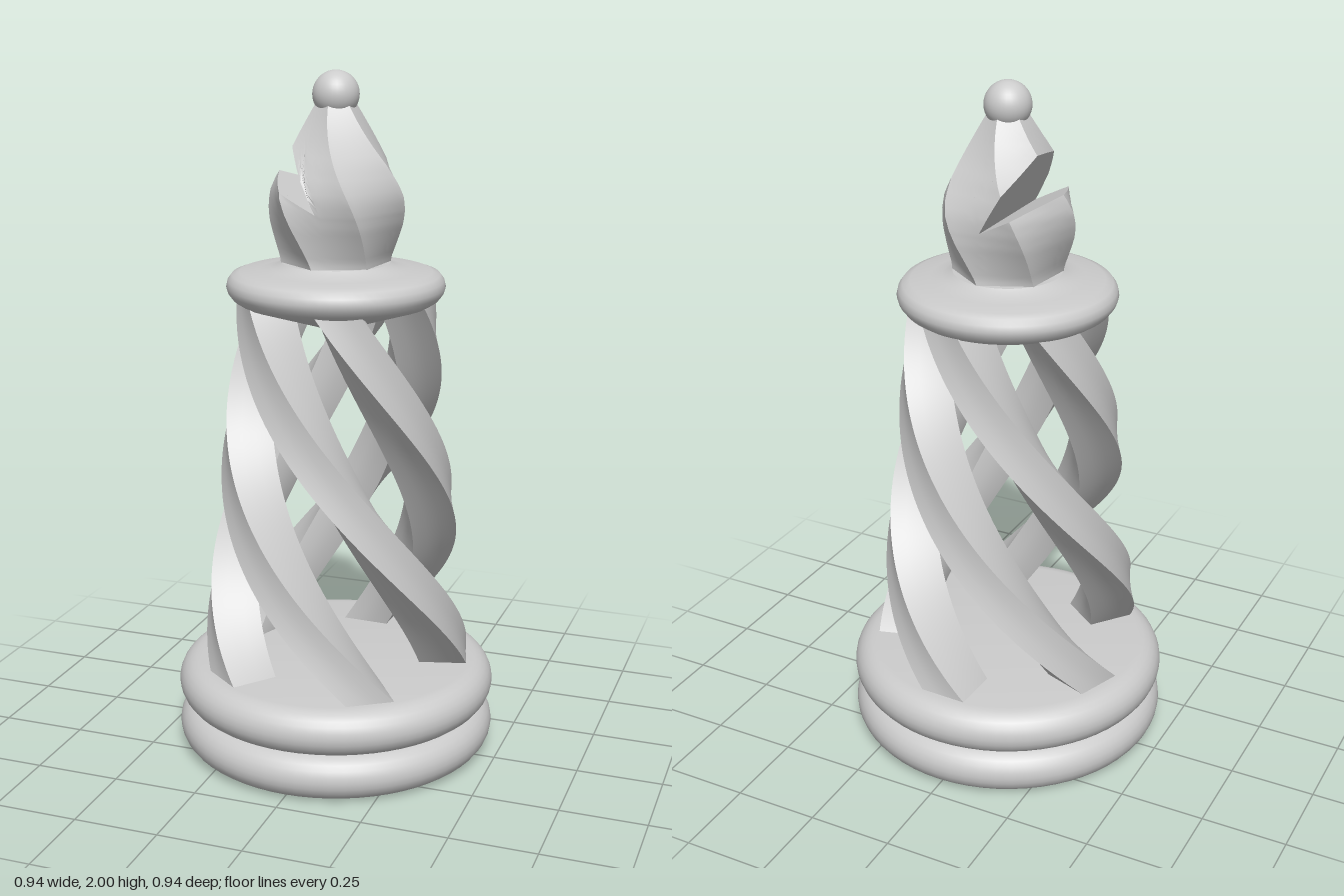
import * as THREE from 'three';
import { toCreasedNormals } from 'three/addons/utils/BufferGeometryUtils.js';

const material = new THREE.MeshStandardMaterial({ color: 0xcccccc, side: THREE.DoubleSide });

function add(group, name, geometry) {
  const mesh = new THREE.Mesh(geometry, material);
  mesh.name = name;
  group.add(mesh);
  return mesh;
}

const lathe = (points) => toCreasedNormals(
  new THREE.LatheGeometry(points.map(([r, y]) => new THREE.Vector2(r, y)), 64).toNonIndexed(), 0.6);

// Disc with a half-round rim
function discProfile(radius, y0, y1) {
  const h = (y1 - y0) / 2, points = [[0, y0]];
  for (let i = 0; i <= 12; i++) {
    const a = -Math.PI / 2 + (i / 12) * Math.PI;
    points.push([radius - h + h * Math.cos(a), y0 + h + h * Math.sin(a)]);
  }
  points.push([0, y1]);
  return points;
}

// Square bar that winds around the axis and leans inward as it rises
function strutGeometry(startAngle) {
  const y0 = 0.25, y1 = 1.37, twist = THREE.MathUtils.degToRad(162);
  const geometry = new THREE.BoxGeometry(1, 1, 1, 3, 60, 3);
  const p = geometry.attributes.position;
  for (let i = 0; i < p.count; i++) {
    const t = p.getY(i) + 0.5;
    const size = 0.14 - 0.01 * t;
    const radial = 0.325 - 0.115 * t + p.getX(i) * size;
    const side = p.getZ(i) * size;
    const a = startAngle + twist * t;
    p.setXYZ(i,
      Math.cos(a) * radial - Math.sin(a) * side,
      y0 + (y1 - y0) * t,
      Math.sin(a) * radial + Math.cos(a) * side);
  }
  geometry.computeVertexNormals();
  return geometry;
}

// Corner radius of the head by height
const headProfile = [[1.44, 0.155], [1.48, 0.158], [1.53, 0.175], [1.58, 0.192], [1.62, 0.2], [1.66, 0.201],
  [1.70, 0.189], [1.75, 0.162], [1.80, 0.127], [1.85, 0.094], [1.92, 0.05]];

function headRadius(y) {
  let i = 1;
  while (i < headProfile.length - 1 && headProfile[i][0] < y) i++;
  const [ya, ra] = headProfile[i - 1], [yb, rb] = headProfile[i];
  return ra + (rb - ra) * (y - ya) / (yb - ya);
}

// Point on the twisted six-sided head
function headPoint(a, y) {
  const sector = Math.PI / 3;
  const local = ((a % sector) + sector) % sector - sector / 2;
  const r = headRadius(y) * Math.cos(sector / 2) / Math.cos(local);
  const turned = a + 2.2 * (y - 1.65);
  return new THREE.Vector3(r * Math.cos(turned), y, r * Math.sin(turned));
}

// Twisted head with a wedge slot open toward -x
function headGeometry() {
  const columns = 72, rows = 16, bottom = 1.44, top = 1.92, slotY = 1.62;
  const positions = [];
  const quad = (a, b, c, d) => {
    for (const v of [a, c, d, a, d, b]) positions.push(v.x, v.y, v.z);
  };
  // Height where a column meets a slot wall of the given slope
  const cutHeight = (a, slope) => {
    let lo = slotY - 0.001, hi = top;
    for (let i = 0; i < 40; i++) {
      const y = (lo + hi) / 2;
      if (y < slotY + slope * Math.max(0, -headPoint(a, y).x)) lo = y; else hi = y;
    }
    return (lo + hi) / 2;
  };
  const inner = (v) => (v.x < 0 ? new THREE.Vector3(0, slotY, v.z) : v);

  for (let c = 0; c < columns; c++) {
    const a0 = (c / columns) * Math.PI * 2 + 1e-6, a1 = ((c + 1) / columns) * Math.PI * 2 - 1e-6;
    const low0 = cutHeight(a0, 0.52), low1 = cutHeight(a1, 0.52);
    const up0 = cutHeight(a0, 1.8), up1 = cutHeight(a1, 1.8);
    const wall = (s0, s1, e0, e1) => {
      for (let r = 0; r < rows; r++) {
        const t = r / rows, u = (r + 1) / rows;
        quad(headPoint(a0, s0 + (e0 - s0) * t), headPoint(a1, s1 + (e1 - s1) * t),
          headPoint(a0, s0 + (e0 - s0) * u), headPoint(a1, s1 + (e1 - s1) * u));
      }
    };
    wall(bottom, bottom, low0, low1);
    wall(up0, up1, top, top);

    // Slot walls
    const l0 = headPoint(a0, low0), l1 = headPoint(a1, low1);
    const u0 = headPoint(a0, up0), u1 = headPoint(a1, up1);
    if (l0.x < 0 || l1.x < 0) quad(l0, l1, inner(l0), inner(l1));
    if (u0.x < 0 || u1.x < 0) quad(u1, u0, inner(u1), inner(u0));
  }
  const geometry = new THREE.BufferGeometry();
  geometry.setAttribute('position', new THREE.Float32BufferAttribute(positions, 3));
  return toCreasedNormals(geometry, 0.55);
}

export function createModel() {
  const group = new THREE.Group();
  group.name = 'twistedBishop';

  // Stacked base discs
  add(group, 'lowerBase', lathe(discProfile(0.472, 0, 0.138)));
  add(group, 'upperBase', lathe(discProfile(0.472, 0.134, 0.272)));

  // Five spiral struts
  const struts = new THREE.Group();
  struts.name = 'struts';
  for (let i = 0; i < 5; i++) {
    add(struts, 'strut', strutGeometry(THREE.MathUtils.degToRad(269 + 72 * i)));
  }
  group.add(struts);

  // Collar with a shallow cone below and a flared neck above
  add(group, 'collar', lathe([
    [0, 1.27], [0.04, 1.275], [0.25, 1.342], [0.275, 1.35], [0.295, 1.363], [0.308, 1.38], [0.313, 1.397],
    [0.309, 1.415], [0.297, 1.431], [0.275, 1.439], [0.22, 1.443], [0.185, 1.45], [0.165, 1.458],
    [0.155, 1.465], [0, 1.465],
  ]));

  add(group, 'head', headGeometry());

  // Ball finial
  add(group, 'finial', new THREE.SphereGeometry(0.066, 32, 20)).position.y = 1.934;
  return group;
}
